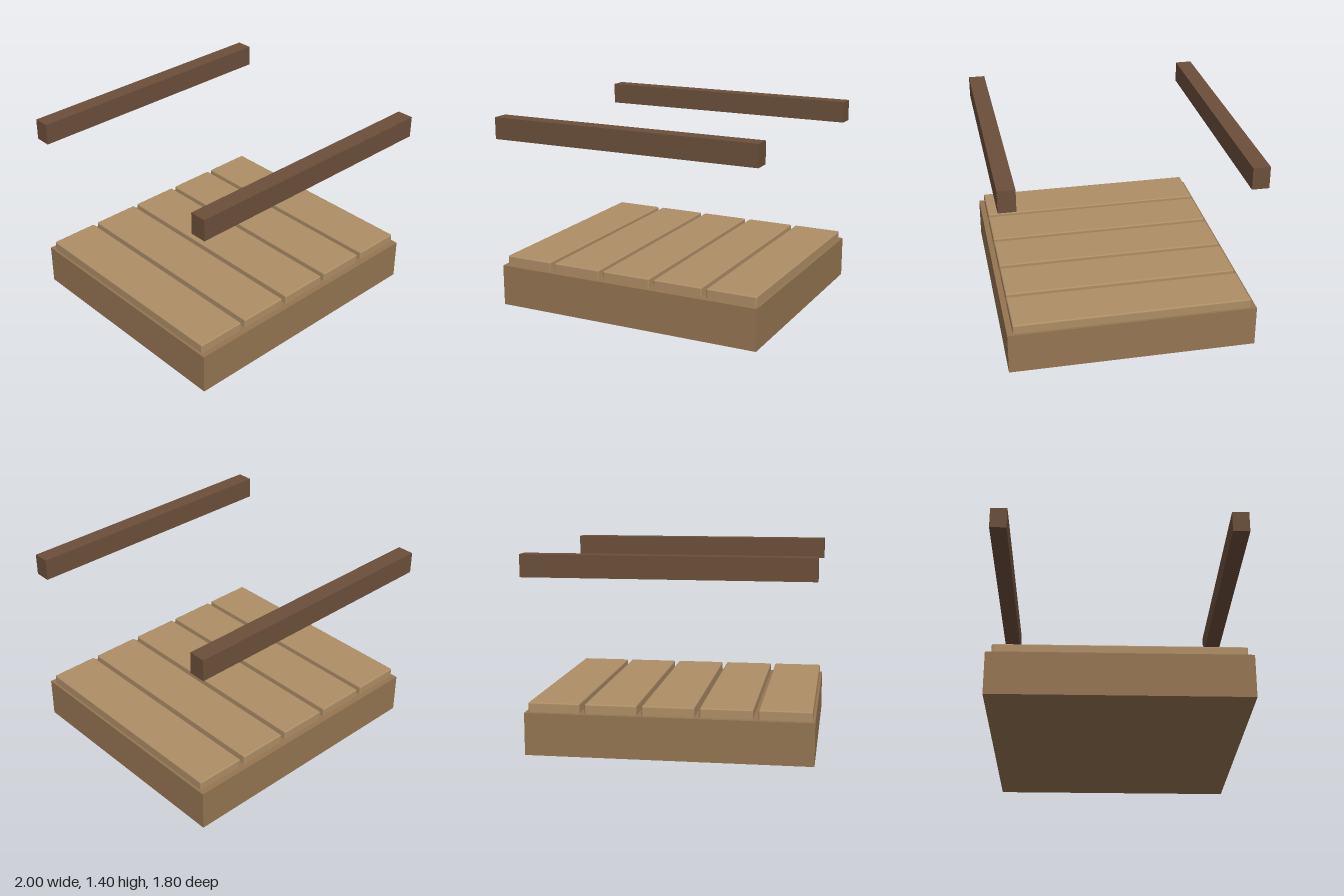
import * as THREE from 'three';
import { RoundedBoxGeometry } from 'three/addons/geometries/RoundedBoxGeometry.js';

export function createModel() {
  const group = new THREE.Group();
  group.name = 'plankDeck';

  const baseWood = new THREE.MeshStandardMaterial({ color: 0x957552 });
  const plankWood = new THREE.MeshStandardMaterial({ color: 0xae8e66 });
  const railWood = new THREE.MeshStandardMaterial({ color: 0x6b4f3a });

  const add = (name, geometry, material, x, y, z) => {
    const mesh = new THREE.Mesh(geometry, material);
    mesh.name = name;
    mesh.position.set(x, y, z);
    group.add(mesh);
  };

  // Solid base block
  add('base', new THREE.BoxGeometry(2, 0.3, 1.76), baseWood, 0, 0.15, 0);

  // Five soft-edged planks, sunk slightly into the base
  const plank = new RoundedBoxGeometry(0.364, 0.08, 1.68, 2, 0.01);
  for (let i = 0; i < 5; i++) {
    add(`plank${i + 1}`, plank, plankWood, -0.8 + i * 0.4, 0.326, 0);
  }

  // Overhead rails at the front and back
  const rail = new THREE.BoxGeometry(2, 0.156, 0.12);
  add('frontRail', rail, railWood, 0, 1.322, 0.84);
  add('backRail', rail, railWood, 0, 1.322, -0.84);

  return group;
}
